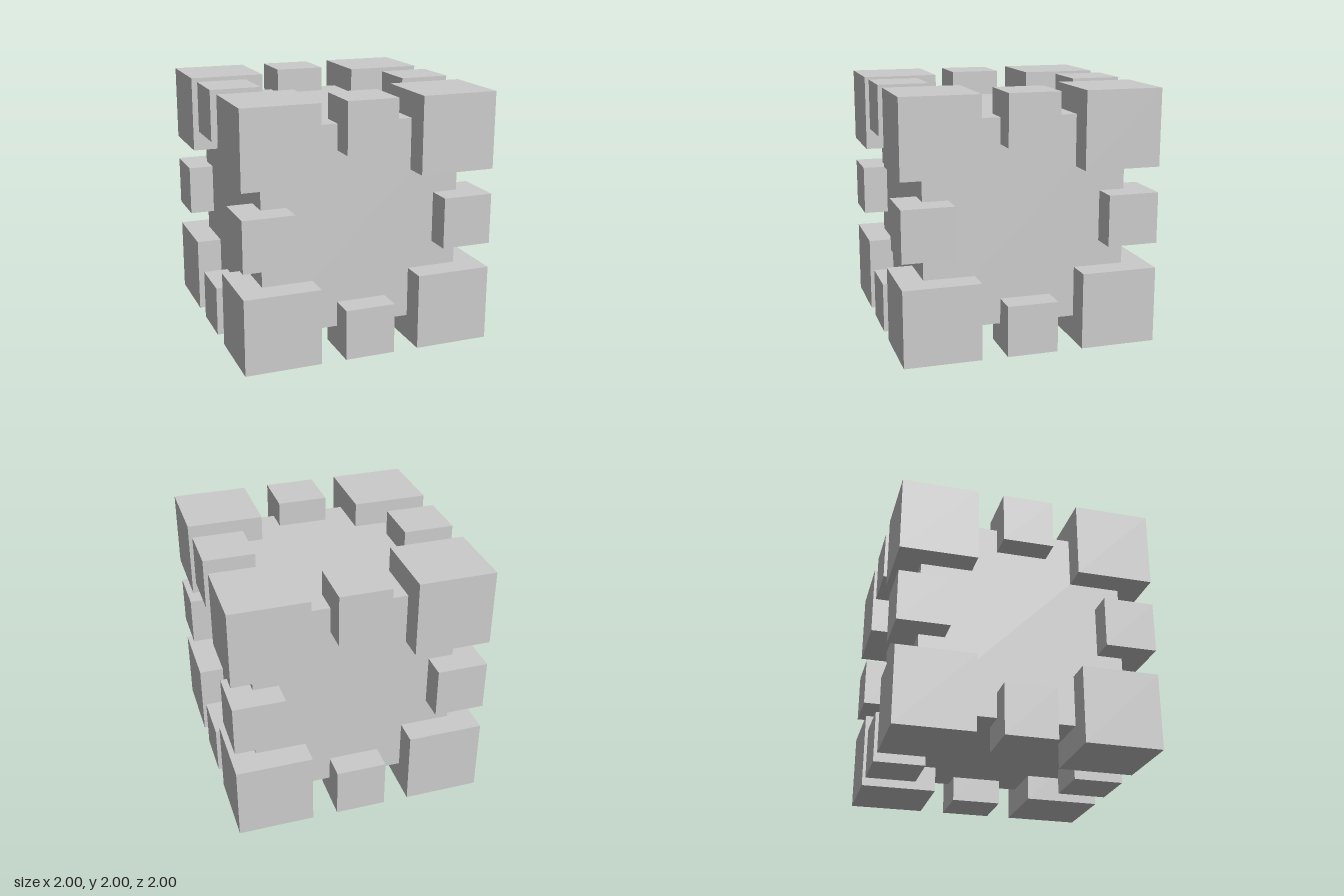
import * as THREE from 'three';

const CORE = 1.6, CORNER = 0.6, EDGE = 0.4, HALF = 1;

export function createModel() {
  const model = new THREE.Group();
  model.name = 'studdedCube';
  const material = new THREE.MeshStandardMaterial({ color: 0xcccccc, flatShading: true });

  const addCube = (parent, name, geometry, x, y, z) => {
    const mesh = new THREE.Mesh(geometry, material);
    mesh.name = name;
    mesh.position.set(x, y + HALF, z);
    parent.add(mesh);
  };

  // Central body
  addCube(model, 'core', new THREE.BoxGeometry(CORE, CORE, CORE), 0, 0, 0);

  // Blocks on the eight corners and the middles of the twelve edges
  const corners = new THREE.Group();
  corners.name = 'cornerBlocks';
  const edges = new THREE.Group();
  edges.name = 'edgeBlocks';
  model.add(corners, edges);

  const cornerGeometry = new THREE.BoxGeometry(CORNER, CORNER, CORNER);
  const edgeGeometry = new THREE.BoxGeometry(EDGE, EDGE, EDGE);
  const c = HALF - CORNER / 2;
  const e = HALF - EDGE / 2;

  for (const x of [-1, 0, 1]) {
    for (const y of [-1, 0, 1]) {
      for (const z of [-1, 0, 1]) {
        const sides = Math.abs(x) + Math.abs(y) + Math.abs(z);
        if (sides === 3) addCube(corners, 'cornerBlock', cornerGeometry, x * c, y * c, z * c);
        if (sides === 2) addCube(edges, 'edgeBlock', edgeGeometry, x * e, y * e, z * e);
      }
    }
  }
  return model;
}
